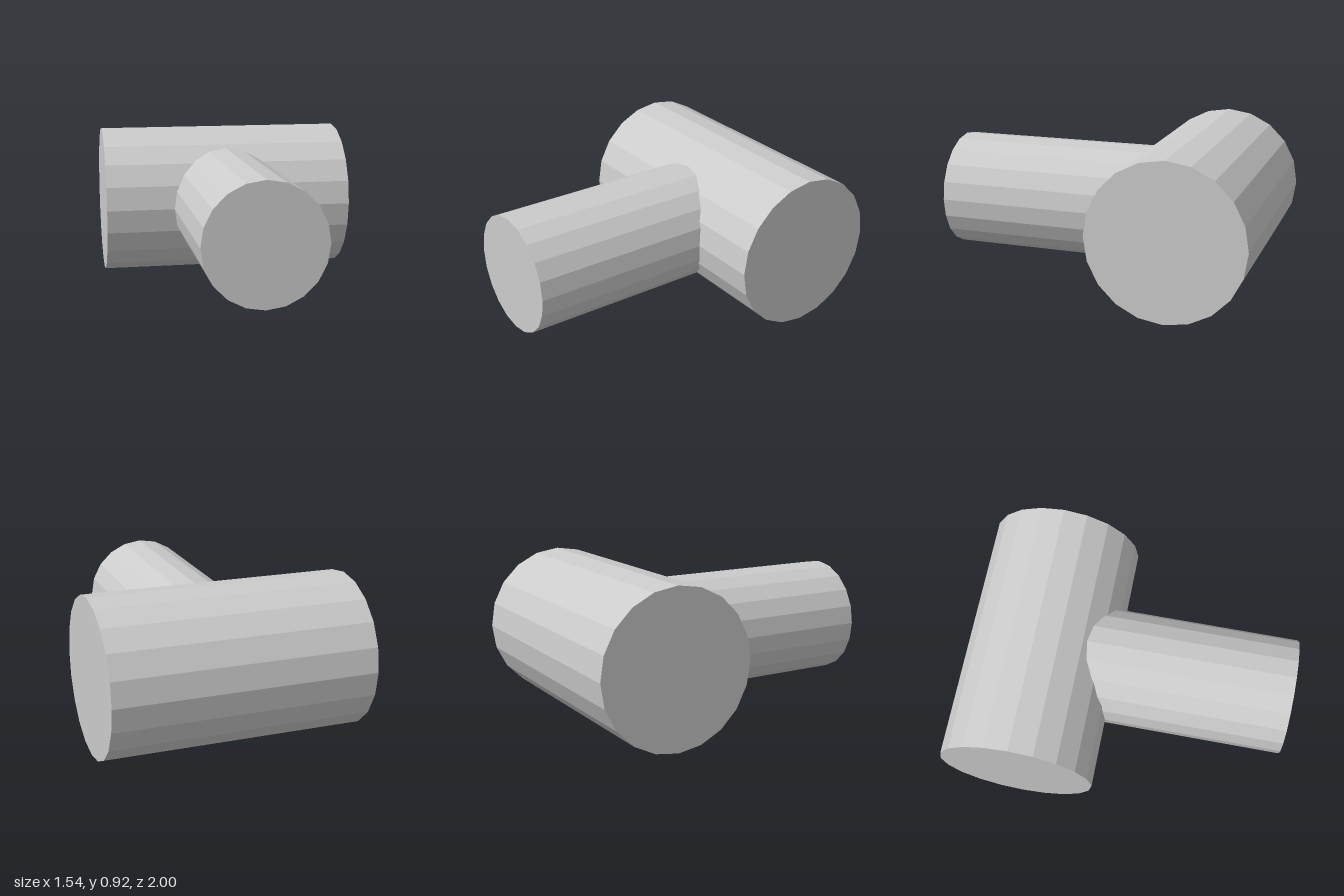
import * as THREE from 'three';

const SIDES = 20;
const AXIS_Y = 0.462; // shared height of both cylinder axes
const HEAD_Z = -0.538;

export function createModel() {
  const model = new THREE.Group();
  const material = new THREE.MeshStandardMaterial({ color: 0xcccccc, flatShading: true });

  const addCylinder = (name, radius, length) => {
    const mesh = new THREE.Mesh(new THREE.CylinderGeometry(radius, radius, length, SIDES), material);
    mesh.name = name;
    model.add(mesh);
    return mesh;
  };

  // Thick cross cylinder lying along x at the back
  const head = addCylinder('crossCylinder', 0.462, 1.54);
  head.rotation.z = Math.PI / 2;
  head.position.set(0, AXIS_Y, HEAD_Z);

  // Thinner cylinder running forward from the middle of the cross cylinder
  const stem = addCylinder('stemCylinder', 0.352, 1 - HEAD_Z);
  stem.rotation.x = Math.PI / 2;
  stem.position.set(0, AXIS_Y, (1 + HEAD_Z) / 2);

  return model;
}
